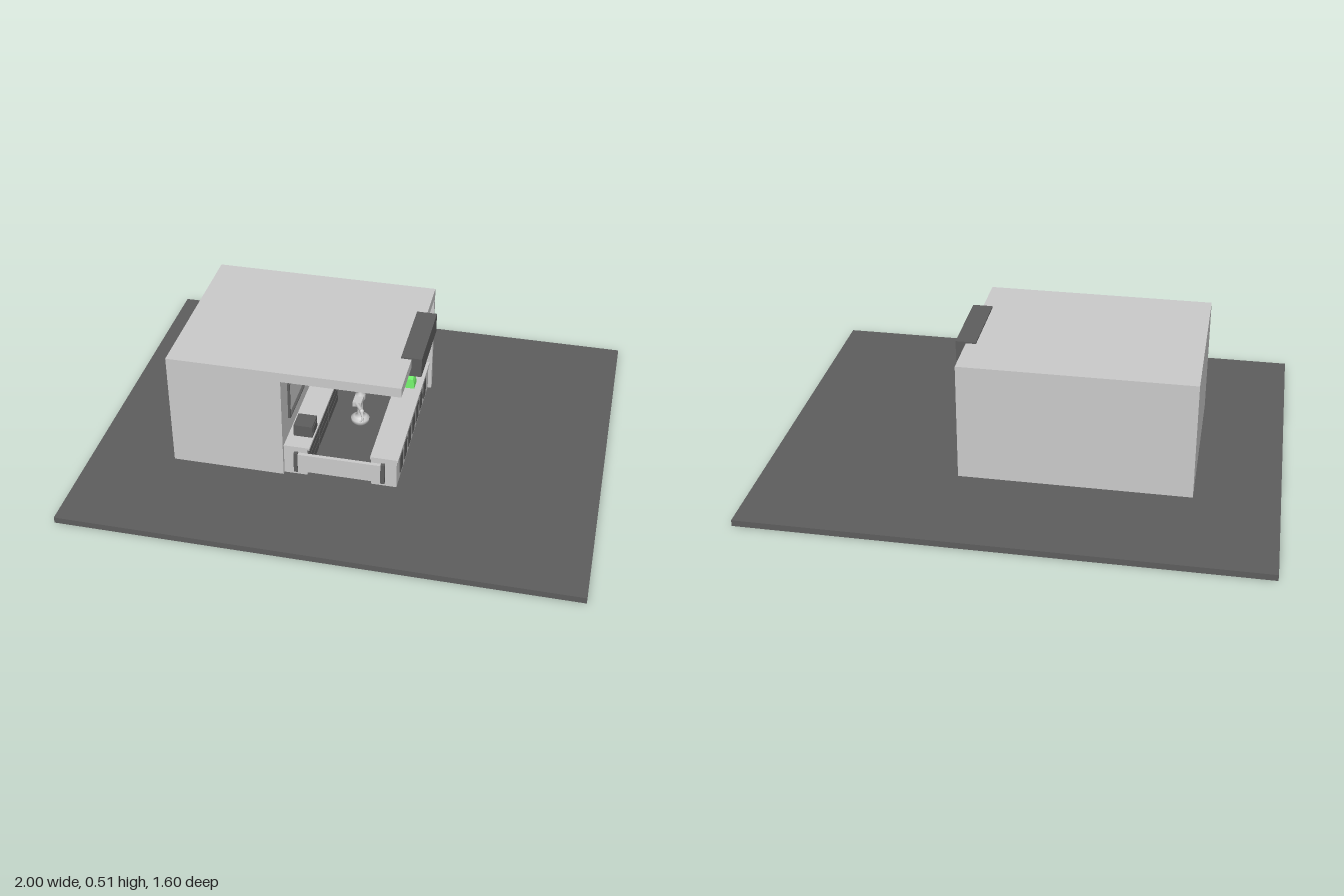
import * as THREE from 'three';

const grey = new THREE.MeshStandardMaterial({ color: 0xcccccc });
const dark = new THREE.MeshStandardMaterial({ color: 0x5e5e5e });
const green = new THREE.MeshStandardMaterial({ color: 0x77f870 });

function add(parent, name, geometry, material = grey, position = [0, 0, 0]) {
  const mesh = new THREE.Mesh(geometry, material);
  mesh.name = name;
  mesh.position.set(...position);
  parent.add(mesh);
  return mesh;
}

// Box given by its limits on each axis.
function box(parent, name, [x0, x1], [y0, y1], [z0, z1], material = grey) {
  return add(parent, name, new THREE.BoxGeometry(x1 - x0, y1 - y0, z1 - z0), material,
    [(x0 + x1) / 2, (y0 + y1) / 2, (z0 + z1) / 2]);
}

// Round bar between two points.
function bar(parent, name, from, to, r0, r1 = r0, material = grey) {
  const a = new THREE.Vector3(...from), b = new THREE.Vector3(...to);
  const dir = b.clone().sub(a);
  const mesh = add(parent, name, new THREE.CylinderGeometry(r1, r0, dir.length(), 12), material,
    a.clone().add(b).multiplyScalar(0.5).toArray());
  mesh.quaternion.setFromUnitVectors(new THREE.Vector3(0, 1, 0), dir.normalize());
  return mesh;
}

// Four-sided frame lying on the back room's wall.
function wallFrame(parent, name, [y0, y1], [z0, z1], t, x1) {
  const frame = new THREE.Group();
  frame.name = name;
  for (const [a, b] of [[y0, y0 + t], [y1 - t, y1]]) box(frame, 'frameRail', [-0.22, x1], [a, b], [z0, z1], dark);
  for (const [a, b] of [[z0, z0 + t], [z1 - t, z1]]) box(frame, 'frameStile', [-0.22, x1], [y0 + t, y1 - t], [a, b], dark);
  parent.add(frame);
}

function makeBuilding() {
  const g = new THREE.Group();
  g.name = 'building';
  box(g, 'backRoom', [-0.67, -0.222], [0.025, 0.505], [-0.36, 0.36]);
  box(g, 'roof', [-0.222, 0.24], [0.465, 0.505], [-0.36, 0.36]);
  box(g, 'sideWall', [-0.222, 0.24], [0.025, 0.465], [-0.36, -0.34]);
  box(g, 'signBoard', [0.2, 0.28], [0.43, 0.511], [-0.165, 0.165], dark);
  wallFrame(g, 'menuFrame', [0.237, 0.395], [0.02, 0.275], 0.005, -0.21);
  // Door to the back room
  wallFrame(g, 'doorFrame', [0.025, 0.37], [-0.34, -0.17], 0.012, -0.205);
  box(g, 'door', [-0.222, -0.21], [0.03, 0.36], [-0.33, -0.18], dark);
  box(g, 'doorPanel', [-0.21, -0.185], [0.06, 0.35], [-0.325, -0.185], dark);
  return g;
}

function makeCounters() {
  const g = new THREE.Group();
  g.name = 'counters';
  // Serving counter with a row of recessed-looking panels
  box(g, 'servingCounter', [0.125, 0.225], [0.025, 0.145], [-0.34, 0.345]);
  box(g, 'servingTop', [0.12, 0.23], [0.145, 0.155], [-0.34, 0.345]);
  for (let i = 0; i < 7; i++) {
    const z = 0.26 - i * 0.0835;
    box(g, 'counterPanel', [0.22, 0.229], [0.05, 0.13], [z - 0.025, z + 0.025], dark);
  }
  // Work counter with dark drawers
  box(g, 'workCounter', [-0.222, -0.13], [0.025, 0.145], [-0.16, 0.345]);
  box(g, 'workTop', [-0.222, -0.12], [0.145, 0.155], [-0.165, 0.345]);
  for (let row = 0; row < 3; row++) for (let col = 0; col < 3; col++) {
    const y = 0.035 + row * 0.036, z = -0.15 + col * 0.163;
    box(g, 'drawer', [-0.135, -0.124], [y, y + 0.031], [z, z + 0.155], dark);
  }
  // Gate across the front
  box(g, 'gate', [-0.165, 0.165], [0.05, 0.13], [0.345, 0.36]);
  for (const s of [-1, 1]) {
    box(g, 'gateEnd', [s * 0.172 - 0.008, s * 0.172 + 0.008], [0.045, 0.133], [0.343, 0.361], dark);
  }
  // Countertop machines
  box(g, 'oven', [-0.2, -0.125], [0.155, 0.205], [0.195, 0.275], dark);
  box(g, 'ovenDoor', [-0.126, -0.122], [0.162, 0.198], [0.215, 0.27], dark);
  const till = new THREE.Shape();
  [[-0.027, 0], [0.027, 0], [0.025, 0.028], [0.02, 0.043], [-0.02, 0.043], [-0.025, 0.028]]
    .forEach(([x, y], i) => (i ? till.lineTo(x, y) : till.moveTo(x, y)));
  add(g, 'till', new THREE.ExtrudeGeometry(till, { depth: 0.05, bevelEnabled: false }), green, [0.175, 0.155, -0.186]);
  return g;
}

// Hanging lamp under the ceiling
function makeLamp() {
  const g = new THREE.Group();
  g.name = 'lamp';
  bar(g, 'lampCord', [0, 0.465, 0], [0, 0.435, 0], 0.003, 0.003, dark);
  const shade = add(g, 'lampShade', new THREE.CylinderGeometry(0.004, 0.01, 0.015, 16), dark, [0, 0.43, 0]);
  shade.scale.z = 1.5;
  box(g, 'lampTube', [-0.009, 0.009], [0.414, 0.423], [-0.034, 0.034], dark);
  return g;
}

// Wall-hung basin: plate and curved bowl on the side wall
function makeBasin() {
  const g = new THREE.Group();
  g.name = 'basin';
  box(g, 'basinPlate', [-0.04, 0.055], [0.19, 0.285], [-0.34, -0.33]);
  box(g, 'basinPanel', [-0.025, 0.04], [0.222, 0.272], [-0.33, -0.308], dark);
  box(g, 'basinTray', [-0.04, 0.055], [0.19, 0.205], [-0.33, -0.275], dark);
  box(g, 'basinBack', [-0.03, 0.045], [0.205, 0.225], [-0.33, -0.305], dark);
  return g;
}

// Serving robot: rounded base, column, cross-bar arms and a head
function makeRobot() {
  const g = new THREE.Group();
  g.name = 'robot';
  const profile = [[0, 0], [0.022, 0.006], [0.036, 0.02], [0.038, 0.035], [0.025, 0.045],
    [0.012, 0.052], [0.012, 0.12], [0.022, 0.13], [0.02, 0.153], [0.008, 0.16], [0.008, 0.19], [0, 0.19]];
  add(g, 'robotBody', new THREE.LatheGeometry(profile.map(p => new THREE.Vector2(...p)), 24), grey, [0, 0.025, -0.025]);
  box(g, 'robotShoulders', [-0.018, 0.018], [0.157, 0.177], [-0.075, 0.04]);
  box(g, 'robotHead', [-0.016, 0.016], [0.218, 0.245], [-0.058, 0.006]);
  bar(g, 'robotEyeStem', [0, 0.24, -0.025], [0, 0.255, -0.025], 0.006);
  const eye = add(g, 'robotEye', new THREE.SphereGeometry(0.011, 16, 12), grey, [0, 0.26, -0.025]);
  eye.scale.y = 1.3;
  for (const s of [-1, 1]) {
    const z = d => -0.015 + s * d;
    bar(g, 'upperArm', [0, 0.168, z(0.05)], [s * 0.03, 0.172, z(0.1)], 0.008, 0.006);
    add(g, 'elbow', new THREE.SphereGeometry(0.01, 12, 8), grey, [s * 0.03, 0.172, z(0.1)]);
    bar(g, 'forearm', [s * 0.03, 0.172, z(0.1)], [s * 0.045, 0.165, z(0.145)], 0.006, 0.004);
    for (const f of [-1, 1]) {
      bar(g, 'finger', [s * 0.045, 0.165, z(0.145)], [s * 0.045 + f * 0.008, 0.165, z(0.162)], 0.003, 0.002);
    }
  }
  return g;
}

export function createModel() {
  const model = new THREE.Group();
  model.name = 'shop';
  box(model, 'ground', [-1, 1], [0, 0.025], [-0.8, 0.8], dark);
  model.add(makeBuilding(), makeCounters(), makeLamp(), makeBasin(), makeRobot());
  return model;
}
